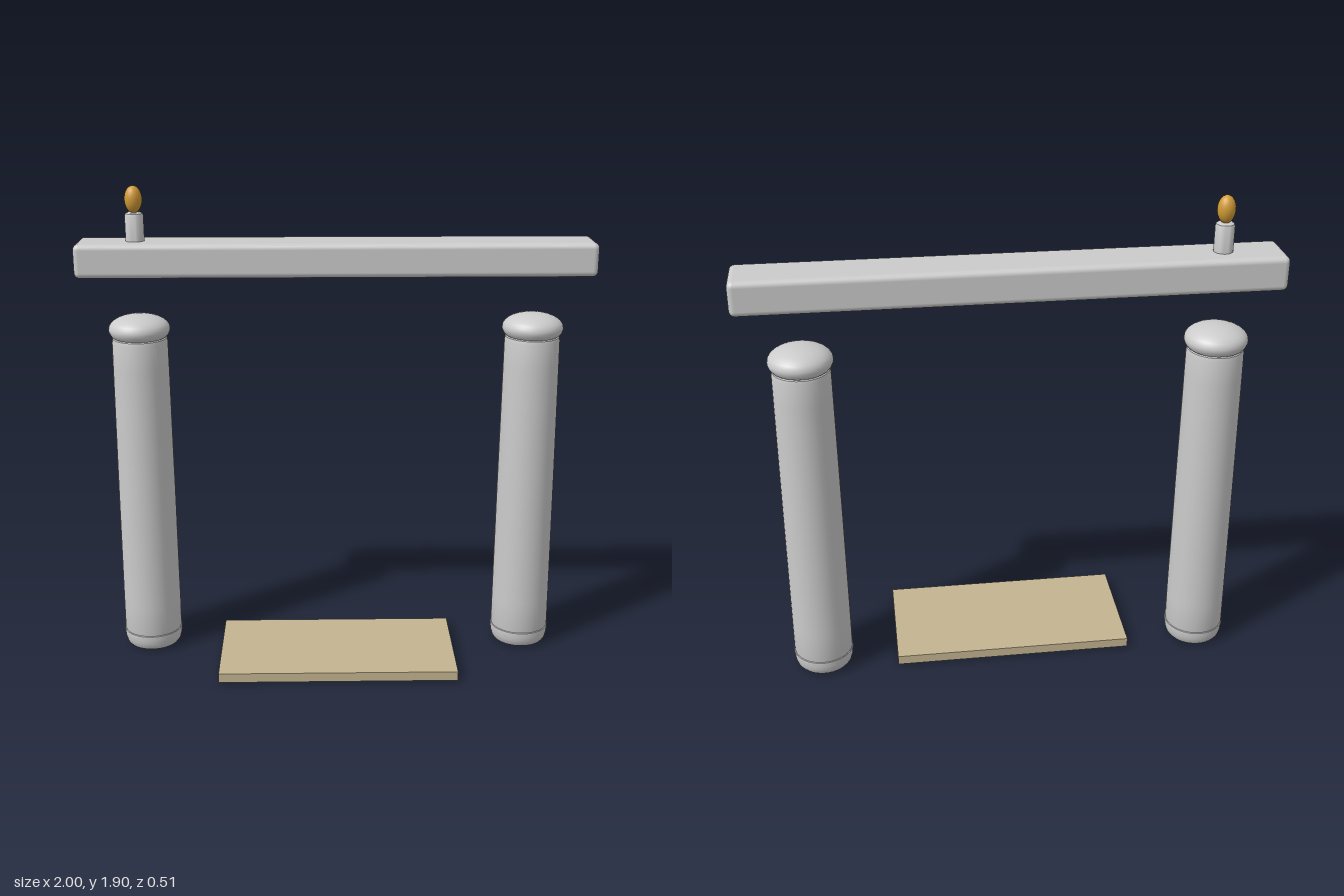
import * as THREE from 'three';
import { RoundedBoxGeometry } from 'three/addons/geometries/RoundedBoxGeometry.js';
import { toCreasedNormals } from 'three/addons/utils/BufferGeometryUtils.js';

const AXIS_Z = -0.136;
const PILLAR_X = 0.773;

const stone = new THREE.MeshStandardMaterial({ color: 0xcccccc });
const matting = new THREE.MeshStandardMaterial({ color: 0xc4b591 });
const amber = new THREE.MeshStandardMaterial({ color: 0xd09a35 });

function part(name, geometry, material, x, y, z) {
  const mesh = new THREE.Mesh(geometry, material);
  mesh.name = name;
  mesh.position.set(x, y, z);
  return mesh;
}

// Turned shape from [radius, height] pairs, bottom to top
function turned(profile, segments = 40) {
  const points = profile.map(([r, y]) => new THREE.Vector2(r, y));
  return toCreasedNormals(new THREE.LatheGeometry(points, segments), 0.6);
}

function createPillar(name, x) {
  const pillar = new THREE.Group();
  pillar.name = name;
  pillar.position.set(x, 0, AXIS_Z);

  // Rounded foot ending in a thin bead
  pillar.add(part('foot', turned([
    [0, 0], [0.092, 0], [0.104, 0.005], [0.112, 0.016], [0.117, 0.035],
    [0.119, 0.052], [0.12, 0.06], [0.119, 0.067], [0.114, 0.071],
  ]), stone, 0, 0, 0));

  // Gently tapering shaft with a softened top edge
  pillar.add(part('shaft', turned([
    [0.114, 0.06], [0.1175, 0.075], [0.117, 0.2], [0.114, 0.7],
    [0.11, 1.2], [0.109, 1.3], [0.106, 1.314], [0.098, 1.32], [0, 1.32],
  ]), stone, 0, 0, 0));

  // Flared collar below a shallow dome
  const dome = [];
  for (let i = 0; i <= 8; i++) {
    const a = (i / 8) * Math.PI / 2;
    dome.push([i === 8 ? 0 : 0.12 * Math.cos(a), 1.352 + 0.056 * Math.sin(a)]);
  }
  pillar.add(part('cap', turned([
    [0.098, 1.315], [0.108, 1.322], [0.116, 1.333], [0.12, 1.345], ...dome,
  ]), stone, 0, 0, 0));
  return pillar;
}

export function createModel() {
  const model = new THREE.Group();
  model.name = 'gateway';

  for (const side of [-1, 1]) {
    model.add(createPillar(side > 0 ? 'leftPillar' : 'rightPillar', side * PILLAR_X));
  }

  // Floating lintel
  model.add(part('lintel', new RoundedBoxGeometry(2, 0.131, 0.2, 4, 0.022), stone, 0, 1.63, AXIS_Z));

  // Candle and flame standing on the lintel
  model.add(part('candle', turned([
    [0.036, 1.68], [0.036, 1.792], [0.033, 1.8], [0.026, 1.804], [0, 1.804],
  ], 24), stone, -PILLAR_X, 0, AXIS_Z));
  const flame = part('flame', new THREE.SphereGeometry(1, 20, 14), amber, -PILLAR_X, 1.853, AXIS_Z);
  flame.scale.set(0.034, 0.052, 0.034);
  model.add(flame);

  // Floor mat
  model.add(part('mat', new THREE.BoxGeometry(0.95, 0.038, 0.475), matting, 0, 0.024, 0.018));

  return model;
}
